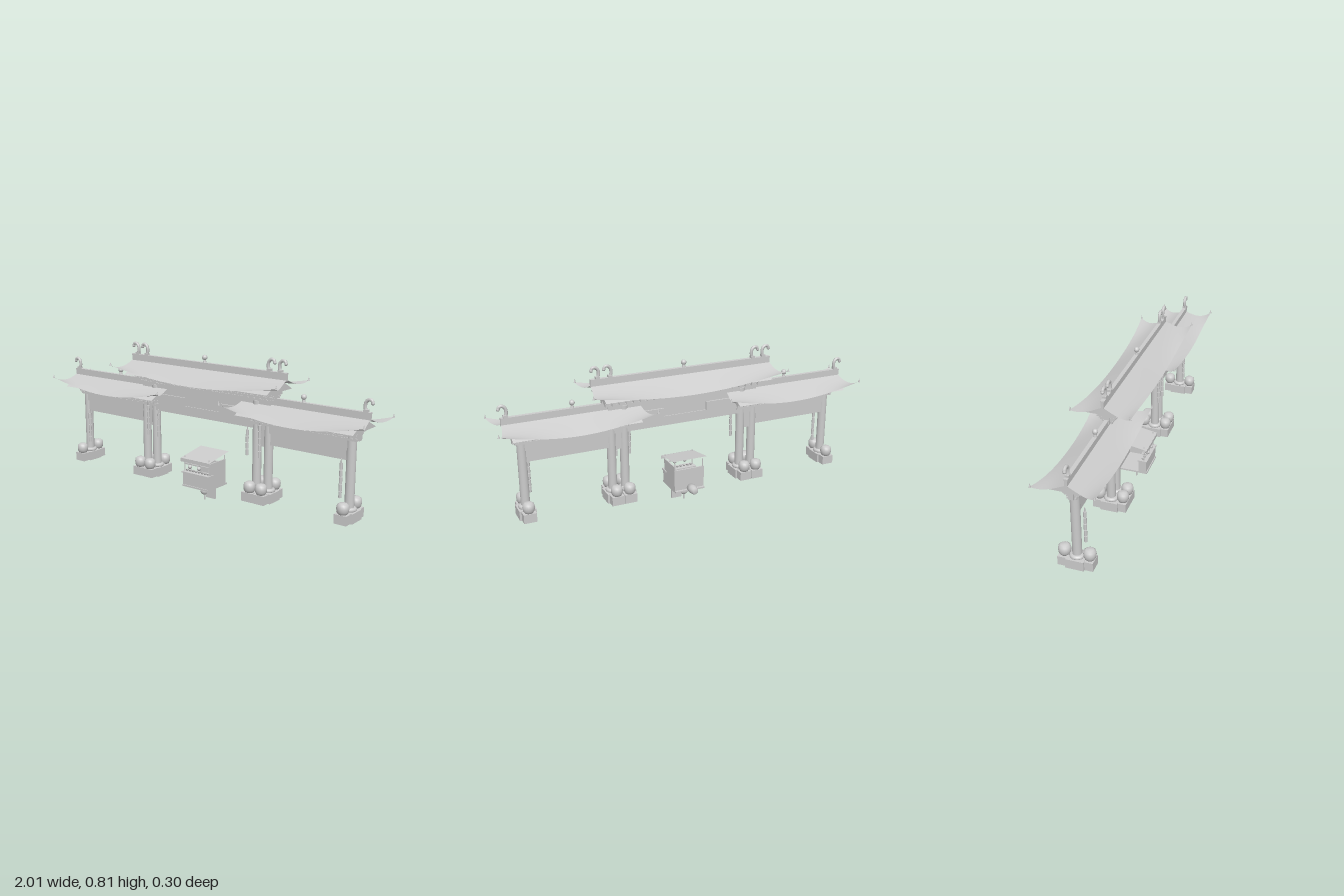
import * as THREE from 'three';

const mat = new THREE.MeshStandardMaterial({ color: 0xcccccc });
const thin = new THREE.MeshStandardMaterial({ color: 0xcccccc, side: THREE.DoubleSide });

function add(parent, name, geometry, x = 0, y = 0, z = 0, material = mat) {
  const mesh = new THREE.Mesh(geometry, material);
  mesh.name = name;
  mesh.position.set(x, y, z);
  parent.add(mesh);
  return mesh;
}

// Box given by its limits
function box(parent, name, x0, x1, y0, y1, z0, z1) {
  return add(parent, name, new THREE.BoxGeometry(x1 - x0, y1 - y0, z1 - z0),
    (x0 + x1) / 2, (y0 + y1) / 2, (z0 + z1) / 2);
}

function lathe(points, segments = 20) {
  return new THREE.LatheGeometry(points.map(p => new THREE.Vector2(...p)), segments);
}

// Hook-shaped ridge end, curling towards +x
const curlPath = new THREE.CatmullRomCurve3([
  [0, 0], [-0.006, 0.022], [-0.003, 0.046], [0.012, 0.059], [0.026, 0.056], [0.031, 0.044],
].map(([x, y]) => new THREE.Vector3(x, y, 0)));
const curlGeo = new THREE.TubeGeometry(curlPath, 16, 0.0085, 8);

function curl(parent, x, y, dir) {
  const g = new THREE.Group();
  g.name = 'ridgeCurl';
  add(g, 'curlStem', curlGeo);
  add(g, 'curlTip', new THREE.SphereGeometry(0.009, 10, 8), 0.031, 0.044);
  add(g, 'curlFoot', new THREE.BoxGeometry(0.022, 0.02, 0.02), 0, 0.002);
  g.position.set(x, y, 0);
  if (dir < 0) g.rotation.y = Math.PI;
  parent.add(g);
}

// Swept roof: half length at the corners and at the ridge, ridge height, eave drop, corner lift
function roof(name, cx, half, ridgeHalf, ridgeY, drop, lift) {
  const g = new THREE.Group();
  g.name = name;
  g.position.x = cx;
  const geo = new THREE.PlaneGeometry(2, 1, 32, 12).rotateX(-Math.PI / 2);
  const p = geo.attributes.position;
  for (let i = 0; i < p.count; i++) {
    const u = p.getX(i), w = p.getZ(i) + 0.5;
    p.setXYZ(i,
      u * (ridgeHalf + (half - ridgeHalf) * w * w),
      ridgeY - drop * w + lift * u * u * w * w * w,
      w * (0.135 + 0.013 * u ** 4));
  }
  geo.computeVertexNormals();
  add(g, 'frontRoofSlope', geo, 0, 0, 0, thin);
  add(g, 'backRoofSlope', geo, 0, 0, 0, thin).rotation.y = Math.PI;

  // Gable body below the slopes
  const tri = new THREE.Shape([[-0.112, 0], [0.112, 0], [0, drop * 0.83]].map(q => new THREE.Vector2(...q)));
  const len = ridgeHalf * 1.84;
  add(g, 'gableBody', new THREE.ExtrudeGeometry(tri, { depth: len, bevelEnabled: false })
    .translate(0, 0, -len / 2).rotateY(Math.PI / 2), 0, ridgeY - drop * 0.86, 0);

  // Ridge beam, its cap and the ball finial
  const r = ridgeHalf;
  box(g, 'ridgeBeam', -r, r, ridgeY - 0.008, ridgeY + 0.024, -0.007, 0.007);
  box(g, 'ridgeCap', -r, r, ridgeY + 0.024, ridgeY + 0.032, -0.01, 0.01);
  add(g, 'finialStand', new THREE.CylinderGeometry(0.006, 0.01, 0.02, 10), 0, ridgeY + 0.04);
  add(g, 'finialBall', new THREE.SphereGeometry(0.014, 16, 12), 0, ridgeY + 0.058);

  // Upturned corner tips
  for (const sx of [-1, 1]) for (const sz of [-1, 1])
    add(g, 'cornerTip', new THREE.ConeGeometry(0.006, 0.022, 8), sx * half * 0.993, ridgeY - drop + lift + 0.007, sz * 0.146);
  return g;
}

// Row of stepped eave brackets
function brackets(parent, name, x0, x1, yTop, count) {
  const g = new THREE.Group();
  g.name = name;
  box(g, 'bracketPlate', x0, x1, yTop - 0.012, yTop, -0.045, 0.045);
  box(g, 'bracketCore', x0, x1, yTop - 0.05, yTop - 0.012, -0.012, 0.012);
  const steps = [[0.05, 0.017, 0.008], [0.043, 0.013, 0.018], [0.036, 0.01, 0.027], [0.027, 0.007, 0.037]];
  for (let i = 0; i < count; i++) {
    const x = x0 + (x1 - x0) * (i + 0.5) / count;
    for (const [d, w, dy] of steps) box(g, 'bracketArm', x - w, x + w, yTop - dy - 0.007, yTop - dy, -d, d);
  }
  parent.add(g);
}

const drumGeo = lathe([[0, -0.027], [0.022, -0.027], [0.029, -0.014], [0.031, 0.002], [0.028, 0.018], [0.018, 0.026], [0, 0.028]]);

// Column with plinth, base ring and a round stone in front and behind
function column(parent, x, top) {
  const g = new THREE.Group();
  g.name = 'column';
  g.position.x = x;
  box(g, 'plinth', -0.033, 0.033, 0.081, 0.128, -0.087, 0.087);
  box(g, 'plinthMiddle', -0.043, 0.043, 0.08, 0.13, -0.045, 0.045);
  add(g, 'baseRing', lathe([[0, 0], [0.034, 0], [0.038, 0.007], [0.034, 0.015], [0.025, 0.018], [0, 0.018]]), 0, 0.129);
  add(g, 'shaft', new THREE.CylinderGeometry(0.023, 0.023, top - 0.14, 24), 0, (top + 0.14) / 2);
  for (const s of [-1, 1]) add(g, 'roundStone', drumGeo, 0, 0.155, s * 0.062);
  parent.add(g);
}

// String of lanterns hanging before the columns
function lanterns(parent, x, y0, y1) {
  const n = Math.round((y1 - y0) / 0.035), h = (y1 - y0) / n;
  const g = new THREE.Group();
  g.name = 'lanternString';
  add(g, 'cord', new THREE.CylinderGeometry(0.003, 0.003, y1 - y0 + 0.02, 6), 0, (y0 + y1) / 2 + 0.01);
  for (let i = 0; i < n; i++)
    add(g, 'lantern', new THREE.CylinderGeometry(0.008, 0.008, h * 0.88, 10), 0, y0 + h * (i + 0.5));
  g.position.set(x, 0, 0.03);
  parent.add(g);
}

function stall() {
  const g = new THREE.Group();
  g.name = 'stall';
  box(g, 'floor', -0.085, 0.085, 0.081, 0.09, -0.085, 0.085);
  box(g, 'counter', -0.085, 0.085, 0.085, 0.155, 0.04, 0.08);
  box(g, 'counterTop', -0.09, 0.09, 0.155, 0.162, 0.035, 0.086);
  box(g, 'backWall', -0.085, 0.085, 0.085, 0.205, -0.072, -0.064);
  box(g, 'sideWall', 0.078, 0.085, 0.085, 0.225, -0.07, 0.065);
  box(g, 'hangingRail', -0.085, 0.085, 0.2, 0.207, 0.062, 0.07);
  for (const x of [-0.08, 0.08]) for (const z of [-0.067, 0.067])
    add(g, 'post', new THREE.CylinderGeometry(0.003, 0.003, 0.163, 8), x, 0.166, z);
  // Awning leaning to the front, with a narrow valance
  add(g, 'awning', new THREE.PlaneGeometry(0.19, 0.176).rotateX(-Math.PI / 2 + 0.17), 0, 0.25, 0, thin);
  add(g, 'valance', new THREE.PlaneGeometry(0.19, 0.02), 0, 0.226, 0.086, thin);
  // Hanging lamps and goods on the counter
  for (const x of [-0.04, 0.02]) {
    add(g, 'lamp', new THREE.SphereGeometry(0.011, 12, 8), x, 0.192, 0.075);
    add(g, 'lampTassel', new THREE.CylinderGeometry(0.002, 0.002, 0.045, 6), x, 0.2, 0.075);
  }
  for (let i = 0; i < 8; i++)
    add(g, 'bowl', new THREE.CylinderGeometry(0.009, 0.005, 0.01, 10), -0.07 + i * 0.02, 0.167, 0.06);
  // Barrel standing out at the back
  add(g, 'barrel', lathe([[0, -0.031], [0.022, -0.031], [0.024, 0], [0.019, 0.025], [0.013, 0.031], [0, 0.031]], 16)
    .rotateX(-Math.PI / 2), 0, 0.103, -0.117);
  // Round lantern and sign below the stall
  add(g, 'lowerCord', new THREE.CylinderGeometry(0.004, 0.004, 0.09, 8), 0, 0.045);
  add(g, 'lowerLantern', new THREE.SphereGeometry(0.023, 16, 12), 0, 0.05);
  box(g, 'sign', 0.015, 0.072, 0.018, 0.088, -0.006, 0.006);
  add(g, 'peg', new THREE.CylinderGeometry(0.006, 0.003, 0.014, 8), -0.03, 0.076, 0.055);
  return g;
}

export function createModel() {
  const model = new THREE.Group();
  model.name = 'gateway';

  // Middle bay
  box(model, 'middleBeam', -0.405, 0.405, 0.45, 0.5, -0.02, 0.02);
  box(model, 'middlePanel', -0.42, 0.42, 0.5, 0.6, -0.015, 0.015);
  brackets(model, 'middleBrackets', -0.45, 0.45, 0.642, 24);
  const main = roof('middleRoof', 0, 0.54, 0.503, 0.712, 0.076, 0.057);
  model.add(main);

  // Side bays, mirrored
  for (const s of [-1, 1]) {
    const side = new THREE.Group();
    side.name = s > 0 ? 'leftBay' : 'rightBay';
    const span = (name, a, b, y0, y1, d) => box(side, name, Math.min(s * a, s * b), Math.max(s * a, s * b), y0, y1, -d, d);
    for (const [x, top] of [[0.335, 0.59], [0.405, 0.51], [0.865, 0.51]]) column(side, s * x, top);
    span('lowerBeam', 0.405, 0.865, 0.375, 0.435, 0.014);
    span('upperBeam', 0.405, 0.875, 0.435, 0.49, 0.019);
    span('capPlate', 0.3, 0.9, 0.472, 0.482, 0.023);
    span('columnTie', 0.335, 0.405, 0.36, 0.49, 0.012);
    span('cornerBrace', 0.12, 0.31, 0.5, 0.545, 0.024);
    brackets(side, 'sideBrackets', s > 0 ? 0.29 : -0.91, s > 0 ? 0.91 : -0.29, 0.525, 15);
    side.add(roof('sideRoof', s * 0.6, 0.4, 0.355, 0.582, 0.068, 0.06));
    lanterns(side, s * 0.83, 0.19, 0.365);
    lanterns(side, s * 0.37, 0.305, 0.475);
    lanterns(side, s * 0.295, 0.305, 0.44);
    curl(side, s * 0.93, 0.613, s);
    curl(side, s * 0.465, 0.743, s);
    curl(side, s * 0.4, 0.743, s);
    model.add(side);
  }

  model.add(stall());
  return model;
}
